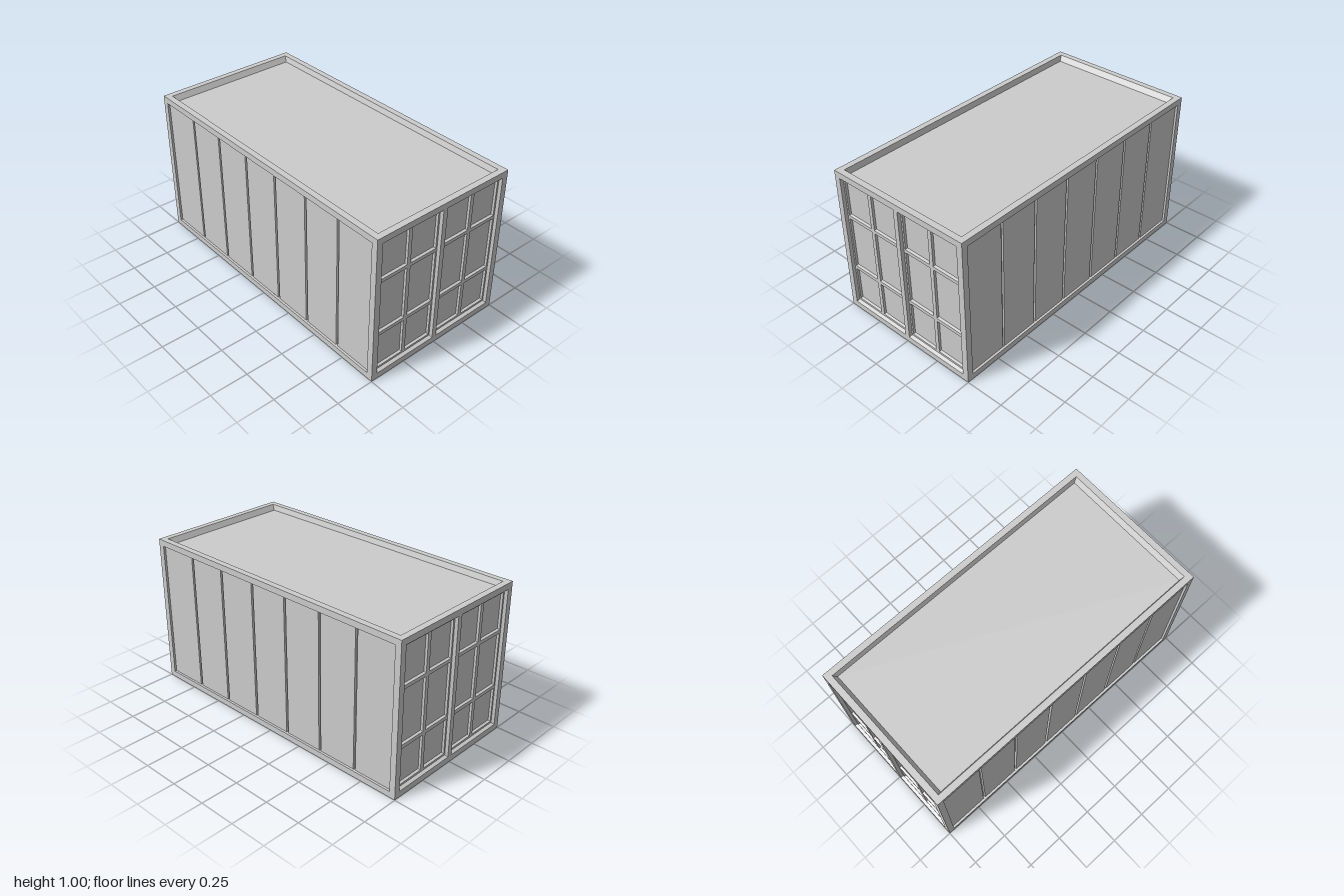
import * as THREE from 'three';
import { mergeGeometries } from 'three/addons/utils/BufferGeometryUtils.js';

const corners = ([x0, y0, x1, y1]) => [[x0, y0], [x1, y0], [x1, y1], [x0, y1]];
const inset = ([x0, y0, x1, y1], dx, dy) => [x0 + dx, y0 + dy, x1 - dx, y1 - dy];

// Sloped walls joining a hole's rim to the rim of its recessed floor
function recessWalls(rim, base, zRim, zBase) {
  const a = corners(rim), b = corners(base), pos = [];
  for (let i = 0; i < 4; i++) {
    const j = (i + 1) % 4;
    const p = [...a[i], zRim], q = [...a[j], zRim], r = [...b[j], zBase], s = [...b[i], zBase];
    pos.push(...p, ...q, ...r, ...p, ...r, ...s);
  }
  const geo = new THREE.BufferGeometry();
  geo.setAttribute('position', new THREE.Float32BufferAttribute(pos, 3));
  geo.computeVertexNormals();
  return geo;
}

// Flat rectangle at height z; each recess {rect, dx, dy, depth, recesses} is cut into it recursively
function plate(rect, z, recesses = [], parts = []) {
  const shape = new THREE.Shape(corners(rect).map(c => new THREE.Vector2(...c)));
  for (const r of recesses) {
    shape.holes.push(new THREE.Path(corners(r.rect).map(c => new THREE.Vector2(...c))));
    const base = inset(r.rect, r.dx, r.dy);
    parts.push(recessWalls(r.rect, base, z, z - r.depth));
    plate(base, z - r.depth, r.recesses, parts);
  }
  const flat = new THREE.ShapeGeometry(shape).toNonIndexed();
  flat.deleteAttribute('uv');
  parts.push(flat.translate(0, 0, z));
  return parts;
}

export function createModel() {
  const group = new THREE.Group();
  const material = new THREE.MeshStandardMaterial({ color: 0xcccccc, flatShading: true });

  const addFace = (name, rect, recesses, rotation, position) => {
    const mesh = new THREE.Mesh(mergeGeometries(plate(rect, 0, recesses)), material);
    mesh.name = name;
    mesh.rotation.set(...rotation);
    mesh.position.set(...position);
    group.add(mesh);
  };

  // Double doors, each with a 2 x 3 grid of sunken panels
  const columns = [[0.032, 0.225], [0.251, 0.444]];
  const rows = [[0.062, 0.30], [0.324, 0.677], [0.70, 0.941]];
  const doors = [1, -1].map(side => {
    const span = (a, b) => (side > 0 ? [a, b] : [-b, -a]);
    const panels = [];
    for (const column of columns) for (const [y0, y1] of rows) {
      const [x0, x1] = span(...column);
      panels.push({ rect: [x0, y0, x1, y1], dx: 0.002, dy: 0.005, depth: 0.015 });
    }
    const [x0, x1] = span(0.016, 0.46);
    return { rect: [x0, 0.04, x1, 0.96], dx: 0.005, dy: 0.009, depth: 0.02, recesses: panels };
  });
  const endRect = [-0.5, 0, 0.5, 1];
  addFace('frontDoors', endRect, doors, [0, 0, 0], [0, 0, 1]);
  addFace('backDoors', endRect, doors, [0, Math.PI, 0], [0, 0, -1]);

  // Side walls: shallow recess split into seven panels by narrow grooves
  const grooves = [];
  for (let i = 0; i < 6; i++) {
    const z = (i - 2.5) * 0.274;
    grooves.push({ rect: [z - 0.008, 0.041, z + 0.008, 0.959], dx: 0.004, dy: 0, depth: 0.01 });
  }
  const wall = [{ rect: [-0.96, 0.04, 0.96, 0.96], dx: 0, dy: 0, depth: 0.015, recesses: grooves }];
  const sideRect = [-1, 0, 1, 1];
  addFace('leftWall', sideRect, wall, [0, Math.PI / 2, 0], [0.5, 0, 0]);
  addFace('rightWall', sideRect, wall, [0, -Math.PI / 2, 0], [-0.5, 0, 0]);

  // Roof and underside: sunken trays with sloped rims
  const tray = [{ rect: [-0.46, -0.96, 0.46, 0.96], dx: 0.011, dy: 0.023, depth: 0.035 }];
  const trayRect = [-0.5, -1, 0.5, 1];
  addFace('roof', trayRect, tray, [-Math.PI / 2, 0, 0], [0, 1, 0]);
  addFace('underside', trayRect, tray, [Math.PI / 2, 0, 0], [0, 0, 0]);

  return group;
}
